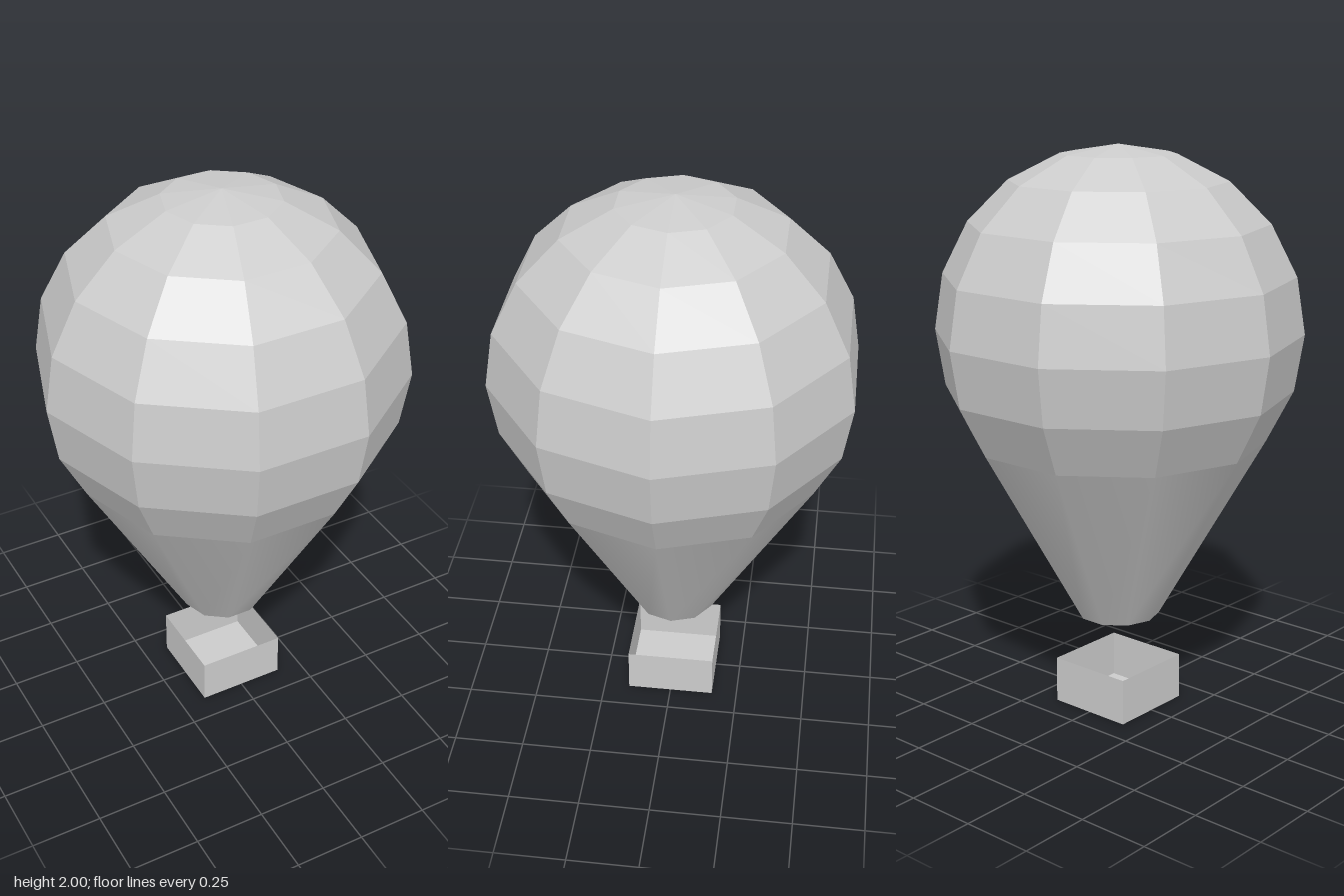
import * as THREE from 'three';

const SIDES = 10;

function part(name, geometry, y, flatShading) {
  const material = new THREE.MeshStandardMaterial({ color: 0xcccccc, flatShading, side: THREE.DoubleSide });
  const mesh = new THREE.Mesh(geometry, material);
  mesh.name = name;
  mesh.position.y = y;
  return mesh;
}

export function createModel() {
  const model = new THREE.Group();
  model.name = 'hotAirBalloon';

  // Faceted crown: a sphere cut off below its seventh row
  const radius = 0.637, centreY = 1.363, cut = Math.PI * 0.7;
  const crown = new THREE.SphereGeometry(radius, SIDES, 7, 0, Math.PI * 2, 0, cut);
  model.add(part('envelopeCrown', crown, centreY, true));

  // Smooth skirt tapering from the cut down to the open mouth
  const seamY = centreY + radius * Math.cos(cut), mouthY = 0.34;
  const skirt = new THREE.CylinderGeometry(radius * Math.sin(cut), 0.146, seamY - mouthY, SIDES, 1, true);
  skirt.rotateY(Math.PI / 2);
  model.add(part('envelopeSkirt', skirt, (seamY + mouthY) / 2, false));

  // Basket: four thin walls and a floor, open on top
  const width = 0.315, height = 0.165;
  const basket = new THREE.Group();
  basket.name = 'basket';
  for (let i = 0; i < 4; i++) {
    const wall = new THREE.PlaneGeometry(width, height);
    wall.translate(0, 0, width / 2).rotateY(i * Math.PI / 2);
    basket.add(part('basketWall', wall, height / 2, true));
  }
  const floor = new THREE.PlaneGeometry(width, width).rotateX(Math.PI / 2);
  basket.add(part('basketFloor', floor, 0, true));
  model.add(basket);

  return model;
}
